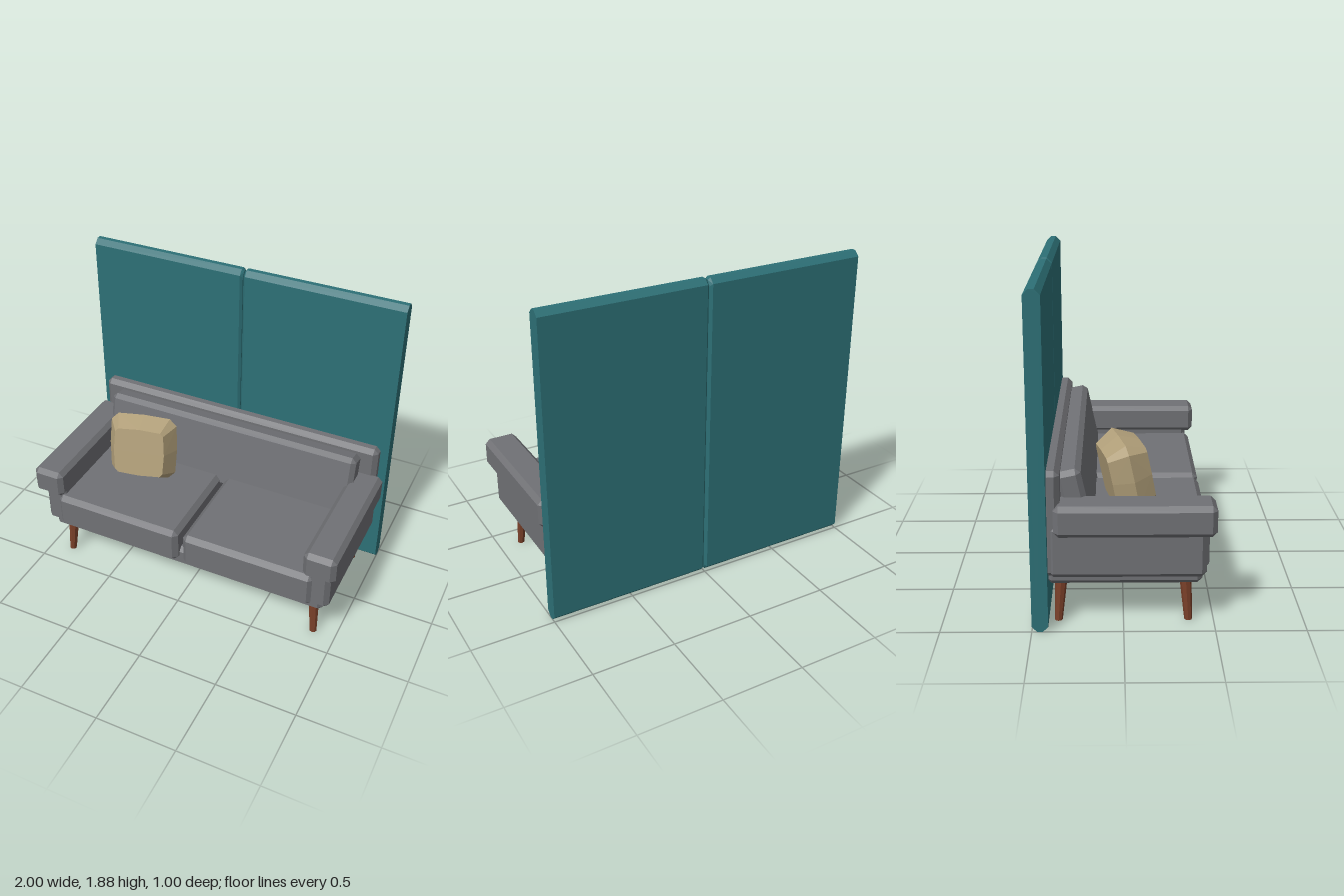
import * as THREE from 'three';
import { ConvexGeometry } from 'three/addons/geometries/ConvexGeometry.js';

const material = (name, color) => {
  const m = new THREE.MeshStandardMaterial({ color });
  m.name = name;
  return m;
};

// Box between two corners with every edge chamfered by c
function chamferBox([x0, x1], [y0, y1], [z0, z1], c = 0.028) {
  const h = [(x1 - x0) / 2, (y1 - y0) / 2, (z1 - z0) / 2];
  const points = [];
  for (const sx of [-1, 1]) for (const sy of [-1, 1]) for (const sz of [-1, 1])
    for (let axis = 0; axis < 3; axis++) {
      const e = h.map((v, i) => (i === axis ? v : v - c));
      points.push(new THREE.Vector3(sx * e[0], sy * e[1], sz * e[2]));
    }
  return new ConvexGeometry(points).translate((x0 + x1) / 2, (y0 + y1) / 2, (z0 + z1) / 2);
}

// Wall panel: bevelled top and bottom, square outer end, fine bevel at the centre seam
function panelGeometry(side) {
  const points = [];
  for (const [x, inset] of [[1, 0], [0.016, 0], [0.002, 0.014]])
    for (const sy of [-1, 1]) for (const sz of [-1, 1])
      for (const [dy, dz] of [[0, 0.03], [0.03, 0]])
        points.push(new THREE.Vector3(side * x,
          0.94 + sy * (0.94 - dy - inset), -0.455 + sz * (0.045 - dz * (1 - inset / 0.045) - inset)));
  return new ConvexGeometry(points);
}

// Pillow: wide middle ring between two smaller, slightly bowed faces
function pillowGeometry() {
  const points = [];
  for (const [z, w, h, cut, bow] of [[-0.115, 0.155, 0.152, 0.02, 0.008],
    [0, 0.212, 0.207, 0.045, 0.008], [0.115, 0.155, 0.152, 0.02, 0.008]])
    for (const sx of [-1, 1]) for (const sy of [-1, 1])
      points.push(
        new THREE.Vector3(sx * (w - cut), sy * h, z),
        new THREE.Vector3(sx * w, sy * (h - cut), z),
        new THREE.Vector3(0, sy * (h + bow), z),
        new THREE.Vector3(sx * (w + bow), 0, z));
  return new ConvexGeometry(points);
}

// Tapered leg, sheared outward towards the floor
function legGeometry(sx, sz) {
  const g = new THREE.CylinderGeometry(0.034, 0.022, 0.25, 8).toNonIndexed();
  const p = g.attributes.position;
  for (let i = 0; i < p.count; i++) {
    const t = 0.5 - p.getY(i) / 0.25;
    p.setXYZ(i, p.getX(i) + sx * (0.84 + 0.018 * t), p.getY(i) + 0.125,
      p.getZ(i) + sz * (0.342 + 0.018 * t));
  }
  g.computeVertexNormals();
  return g;
}

export function createModel() {
  const model = new THREE.Group();
  model.name = 'sofaWithWallPanels';
  const teal = material('teal panel', 0x2d7076);
  const grey = material('grey upholstery', 0x707175);
  const tan = material('tan fabric', 0xb2a07a);
  const wood = material('brown wood', 0x7a4029);

  const add = (name, geometry, mat) => {
    const mesh = new THREE.Mesh(geometry, mat);
    mesh.name = name;
    model.add(mesh);
    return mesh;
  };
  const span = (side, a, b) => (side > 0 ? [a, b] : [-b, -a]);

  // Sofa body
  add('baseFrame', chamferBox([-0.92, 0.92], [0.24, 0.38], [-0.42, 0.43]), grey);
  add('backFrame', chamferBox([-0.95, 0.95], [0.3, 0.905], [-0.435, -0.34]), grey);
  const backCushion = add('backCushion',
    chamferBox([-0.848, 0.848], [-0.22, 0.22], [-0.07, 0.07]), grey);
  backCushion.position.set(0, 0.654, -0.258);
  backCushion.rotation.x = -0.21;

  // Mirrored parts
  for (const side of [-1, 1]) {
    const label = side > 0 ? 'left' : 'right';
    add(label + 'WallPanel', panelGeometry(side), teal);
    add(label + 'SeatCushion', chamferBox(span(side, 0.017, 0.863), [0.295, 0.525], [-0.25, 0.472], 0.03), grey);
    add(label + 'SidePanel', chamferBox(span(side, 0.82, 0.96), [0.295, 0.6], [-0.408, 0.45]), grey);
    add(label + 'Armrest', chamferBox(span(side, 0.8, 1), [0.545, 0.723], [-0.375, 0.498]), grey);
    add(label + 'FrontLeg', legGeometry(side, 1), wood);
    add(label + 'BackLeg', legGeometry(side, -1), wood);
  }

  // Loose pillow leaning back and turned towards the middle
  const pillow = add('pillow', pillowGeometry(), tan);
  pillow.position.set(-0.477, 0.742, 0.015);
  pillow.rotation.set(-0.2, 0.23, 0, 'YXZ');

  return model;
}
